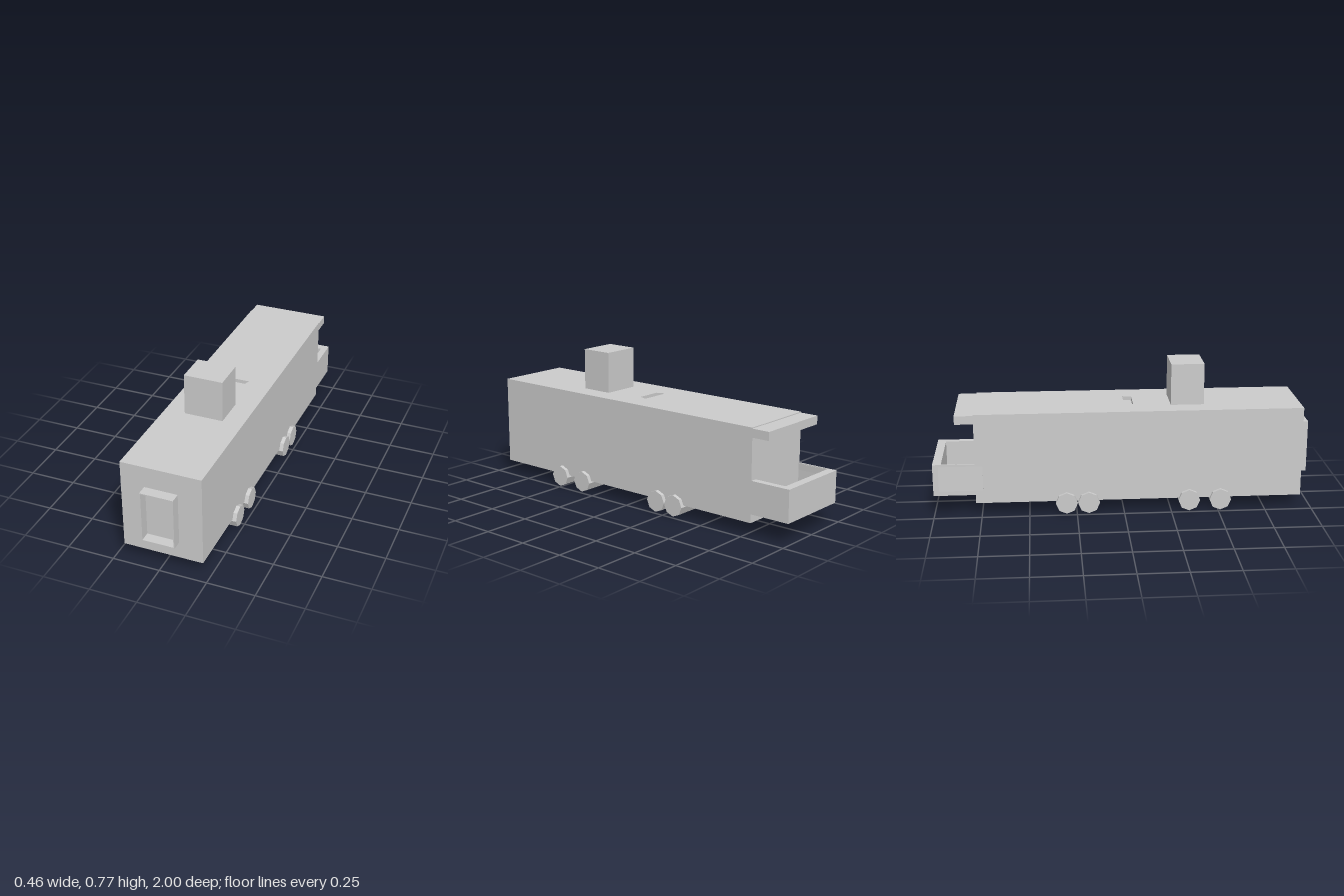
import * as THREE from 'three';

export function createModel() {
  const model = new THREE.Group();
  const material = new THREE.MeshStandardMaterial({ color: 0xcccccc, flatShading: true });

  const add = (name, geometry) => {
    const mesh = new THREE.Mesh(geometry, material);
    mesh.name = name;
    model.add(mesh);
    return mesh;
  };
  // Box given by its limits on each axis
  const box = (name, x0, x1, y0, y1, z0, z1) => {
    const mesh = add(name, new THREE.BoxGeometry(x1 - x0, y1 - y0, z1 - z0));
    mesh.position.set((x0 + x1) / 2, (y0 + y1) / 2, (z0 + z1) / 2);
    return mesh;
  };
  const polygon = (Type, points) => new Type(points.map(([x, y]) => new THREE.Vector2(x, y)));
  const rectangle = (Type, x0, x1, y0, y1) => polygon(Type, [[x0, y0], [x1, y0], [x1, y1], [x0, y1]]);

  // Long body, with a roof slab that carries a shallow tapered slot
  const roofY = 0.55, slotDepth = 0.02;
  box('body', -0.212, 0.21, 0.066, roofY - slotDepth, -0.78, 0.945);
  const roof = rectangle(THREE.Shape, -0.212, 0.21, -0.945, 0.78);
  roof.holes.push(polygon(THREE.Path, [[-0.085, -0.01], [0.08, -0.01], [0.065, -0.058], [-0.068, -0.058]]));
  const roofSlab = add('roof', new THREE.ExtrudeGeometry(roof, { depth: slotDepth, bevelEnabled: false }));
  roofSlab.rotation.x = -Math.PI / 2;
  roofSlab.position.y = roofY - slotDepth;

  // Square stack on the roof
  box('stack', -0.104, 0.102, roofY, 0.77, 0.255, 0.43);

  // Thin raised frame on the front
  const frame = rectangle(THREE.Shape, -0.088, 0.086, 0.157, 0.437);
  frame.holes.push(rectangle(THREE.Path, -0.083, 0.081, 0.163, 0.432));
  const frontFrame = add('frontFrame', new THREE.ExtrudeGeometry(frame, { depth: 0.055, bevelEnabled: false }));
  frontFrame.position.z = 0.945;

  // Rear roof overhang and open-topped platform
  box('rearOverhang', -0.212, 0.21, 0.5, 0.545, -0.877, -0.78);
  box('platformFloor', -0.212, 0.21, 0.112, 0.135, -1, -0.78);
  box('platformBackWall', -0.212, 0.21, 0.135, 0.283, -1, -0.955);
  box('platformLeftWall', 0.175, 0.21, 0.135, 0.283, -0.955, -0.78);
  box('platformRightWall', -0.212, -0.205, 0.135, 0.283, -0.955, -0.78);

  // Slightly tilted plate on the right side of the platform
  const plate = box('sidePlate', -0.2145, -0.2065, 0.138, 0.278, -0.97, -0.74);
  plate.rotation.z = -0.04;

  // Octagonal rollers running the full width
  for (const z of [0.512, 0.346, -0.187, -0.304]) {
    const roller = add('wheelRoller', new THREE.CylinderGeometry(0.0575, 0.0575, 0.462, 8));
    roller.rotation.z = Math.PI / 2;
    roller.position.set(0, 0.0575, z);
  }
  return model;
}
